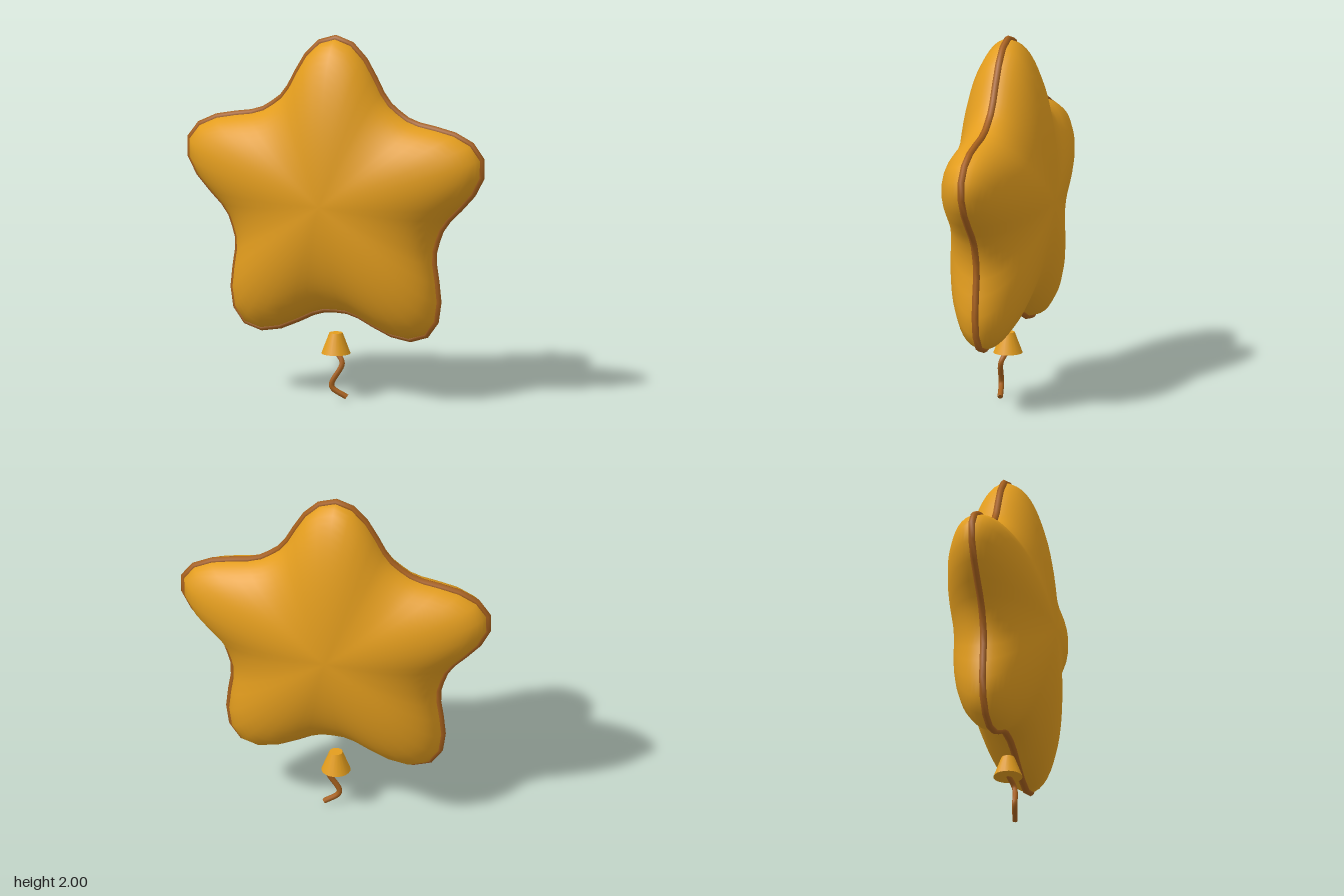
import * as THREE from 'three';
import { mergeVertices } from 'three/addons/utils/BufferGeometryUtils.js';

const CENTER_Y = 1.1;
const SEGMENTS = 60;

// Five-pointed outline with narrow rounded points and wide valleys, one point up
const starRadius = (a) =>
  0.61 + 0.27 * Math.pow((1 + Math.cos(5 * (a - Math.PI / 2))) / 2, 1.4);

const outlinePoint = (a) =>
  new THREE.Vector2(Math.cos(a), Math.sin(a)).multiplyScalar(starRadius(a));

// Direction pointing out of the outline, square to it
function outlineNormal(a) {
  const d = outlinePoint(a + 0.01).sub(outlinePoint(a - 0.01)).normalize();
  return new THREE.Vector2(d.y, -d.x);
}

// Move every vertex by a rule, then weld and smooth
function reshape(geo, rule) {
  const p = geo.attributes.position;
  for (let i = 0; i < p.count; i++) {
    const [x, y, z] = rule(p.getX(i), p.getY(i), p.getZ(i));
    p.setXYZ(i, x, y, z);
  }
  geo.deleteAttribute('uv');
  geo.deleteAttribute('normal');
  const welded = mergeVertices(geo, 1e-5);
  welded.computeVertexNormals();
  return welded;
}

export function createModel() {
  const gold = new THREE.MeshStandardMaterial({ name: 'gold', color: 0xe39d1e });
  const brown = new THREE.MeshStandardMaterial({ name: 'brown', color: 0xa8611d });
  const model = new THREE.Group();
  model.name = 'starBalloon';

  const add = (name, geometry, material, y = 0) => {
    const mesh = new THREE.Mesh(geometry, material);
    mesh.name = name;
    mesh.position.y = y;
    model.add(mesh);
  };

  // Inflated body: a sphere with poles on z, stretched to the outline
  const sphere = new THREE.SphereGeometry(1, SEGMENTS, 32).rotateX(Math.PI / 2);
  add('body', reshape(sphere, (x, y, z) => {
    const r = starRadius(Math.atan2(y, x));
    return [x * r, y * r, z * 0.267];
  }), gold, CENTER_Y);

  // Piping: a six-sided ring bent along the outline, one edge facing outward
  const ring = new THREE.TorusGeometry(1, 0.02, 6, SEGMENTS);
  add('seam', reshape(ring, (x, y, z) => {
    const a = Math.atan2(y, x);
    const q = outlinePoint(a).addScaledVector(outlineNormal(a), Math.hypot(x, y) - 1);
    return [q.x, q.y, z];
  }), brown, CENTER_Y);

  // Tied neck below the body
  add('knot', new THREE.CylinderGeometry(0.036, 0.079, 0.113, 20), gold, 0.304);

  // Curling string with a closed end
  const stringPath = new THREE.CatmullRomCurve3([
    new THREE.Vector3(0, 0.26, 0),
    new THREE.Vector3(0.045, 0.2, 0.025),
    new THREE.Vector3(-0.01, 0.075, 0.04),
    new THREE.Vector3(0.07, 0.015, 0.022),
  ]);
  add('string', new THREE.TubeGeometry(stringPath, 28, 0.015, 8), brown);
  const end = new THREE.CircleGeometry(0.015, 8);
  end.applyQuaternion(new THREE.Quaternion().setFromUnitVectors(
    new THREE.Vector3(0, 0, 1), stringPath.getTangent(1)));
  const tip = stringPath.getPoint(1);
  end.translate(tip.x, tip.y, tip.z);
  add('stringEnd', end, brown);

  return model;
}
